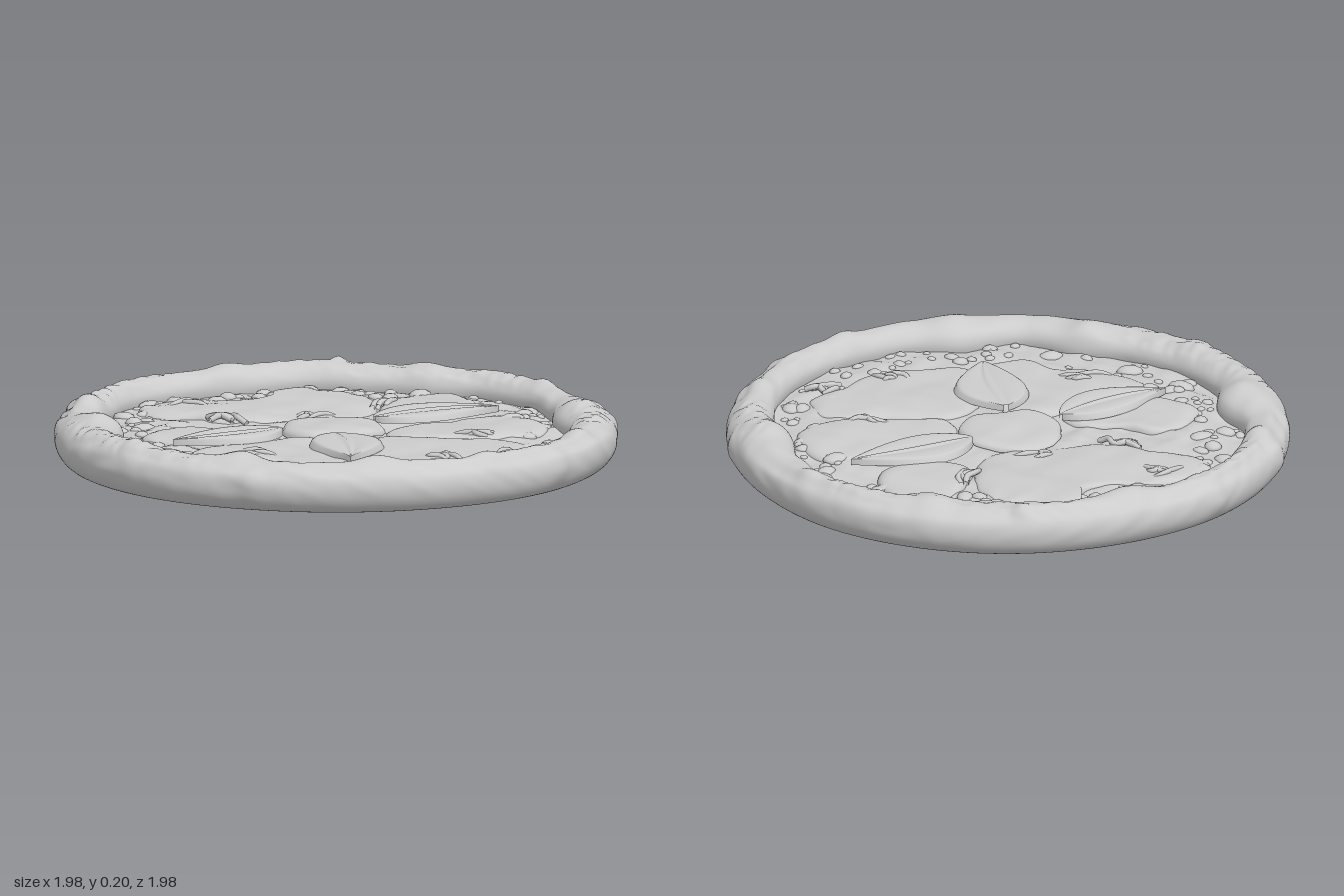
import * as THREE from 'three';

const mat = new THREE.MeshStandardMaterial({ color: 0xcccccc, side: THREE.DoubleSide });
const TAU = Math.PI * 2;
const smooth = (a, b, x) => THREE.MathUtils.smoothstep(x, a, b);

// Smooth lumpy noise, about -1..1
const noise = (x, z, f) =>
  (Math.sin(x * f + 1.7 * Math.sin(z * f * 0.8 + 1)) + Math.sin(z * f * 1.1 + 1.5 * Math.sin(x * f * 0.9 + 2))) / 2;

let seed = 7;
const rand = () => (seed = (seed * 16807) % 2147483647) / 2147483647;

// Surface from f(u, v) -> [x, y, z]; closed surfaces wrap around in v
function surface(nu, nv, closed, f) {
  const pos = [], idx = [], cols = closed ? nv : nv + 1;
  for (let i = 0; i <= nu; i++) for (let j = 0; j < cols; j++) pos.push(...f(i / nu, j / nv));
  for (let i = 0; i < nu; i++) for (let j = 0; j < nv; j++) {
    const k = (j + 1) % cols;
    const a = i * cols + j, b = i * cols + k, c = a + cols, d = b + cols;
    idx.push(a, b, c, b, d, c);
  }
  const g = new THREE.BufferGeometry();
  g.setAttribute('position', new THREE.Float32BufferAttribute(pos, 3));
  g.setIndex(idx);
  g.computeVertexNormals();
  return g;
}

function add(parent, name, geometry) {
  const m = new THREE.Mesh(geometry, mat);
  m.name = name;
  parent.add(m);
  return m;
}

// Inner crust radius every 15 degrees, from +x towards +z
const inner = [.76, .81, .83, .84, .84, .83, .77, .82, .77, .80, .81, .81,
  .75, .83, .84, .86, .84, .80, .84, .80, .79, .83, .83, .80];
function innerRadius(a) {
  const t = (((a / TAU) % 1) + 1) % 1 * 24, i = Math.floor(t);
  return THREE.MathUtils.lerp(inner[i % 24], inner[(i + 1) % 24], smooth(0, 1, t - i));
}

// Blisters on the crust: angle in degrees, radius, size, height
const blisters = [[3, .99, .03, .012], [46, 1, .05, .016], [117, 1, .04, .012], [208, 1, .045, .016],
  [234, 1, .045, .016], [279, .94, .03, .018], [0, .85, .07, .018], [90, .87, .08, .018], [122, .82, .07, .025],
  [180, .84, .08, .024], [300, .87, .07, .02], [253, .88, .08, .02], [30, .9, .06, .016], [332, .91, .05, .016],
  [150, .9, .06, .015], [205, .9, .05, .02], [64, .9, .05, .015]]
  .map(([d, r, s, h]) => [r * Math.cos(d * TAU / 360), r * Math.sin(d * TAU / 360), s, h]);
const blister = (x, z) => blisters.reduce((sum, [bx, bz, s, h]) =>
  sum + h * Math.exp(-((x - bx) ** 2 + (z - bz) ** 2) / (s * s)), 0);

function crustGeometry() {
  const nv = 360, curves = [];
  for (let j = 0; j < nv; j++) {
    const a = j / nv * TAU, ri = innerRadius(a), c = Math.cos(a), s = Math.sin(a);
    const ro = .99 - .01 * smooth(.3, 1, c) + .004 * noise(c, s, 5), top = .172 + .008 * noise(c, s, 6), w = ro - ri;
    curves.push(new THREE.CatmullRomCurve3([[ri + .03, .05], [ri + .01, .085], [ri + .006, .12], [ri + .02, .148],
      [ri + w * .32, top - .004], [ri + w * .58, top], [ro - .038, top - .018], [ro - .01, .13], [ro, .09],
      [ro - .01, .045], [ro - .04, .01], [ro - .09, 0]].map(([r, y]) => new THREE.Vector3(r, y, 0)), false, 'centripetal'));
  }
  return surface(52, nv, true, (u, v) => {
    const a = v * TAU, c = Math.cos(a), s = Math.sin(a);
    const p = curves[Math.round(v * nv) % nv].getPoint(u);
    const x = p.x * c, z = p.x * s, k = smooth(.015, .1, p.y);
    const b = blister(x, z) + .0025 * noise(x + p.y, z - p.y, 34);
    // Baked wrinkles, only in some places along the top
    const wrinkle = .004 * noise(x, z, 85) * smooth(.1, .6, noise(x, z, 6)) * smooth(.13, .165, p.y);
    const out = p.x + b * k * smooth(.9, .98, p.x) * .9;
    return [out * c, p.y + b * smooth(.1, .16, p.y) + wrinkle, out * s];
  });
}

const sauceY = (x, z) => .1 + .006 * noise(x, z, 17) + .005 * noise(z, x, 39)
  - .01 * smooth(.72, .84, Math.hypot(x, z));
const cheeseY = (x, z) => .119 + .006 * noise(x, z, 10) + .003 * noise(z, x, 25);

// Melted cheese: a soft-edged sheet inside a smooth closed outline
function cheeseGeometry(points) {
  const curve = new THREE.CatmullRomCurve3(points.map(([x, z]) => new THREE.Vector3(x, 0, z)), true);
  const n = 120, outline = curve.getPoints(n);
  const mid = points.reduce((m, [x, z]) => [m[0] + x / points.length, m[1] + z / points.length], [0, 0]);
  return surface(20, n, true, (u, v) => {
    const p = outline[Math.round(v * n) % n], t = 1 - (1 - u) ** 1.5;
    const r = 1.02 + .025 * noise(p.x, p.z, 30);
    const x = mid[0] + (p.x - mid[0]) * t * r, z = mid[1] + (p.z - mid[1]) * t * r;
    const edge = Math.sqrt(Math.max(0, 1 - t ** 9));
    return [x, THREE.MathUtils.lerp(sauceY(x, z) - .006, cheeseY(x, z), edge), z];
  });
}

const cheeses = [
  [[-.6, -.4], [-.58, -.56], [-.42, -.63], [-.25, -.6], [-.13, -.65], [-.1, -.75], [0, -.8], [.07, -.72], [.17, -.68],
    [.21, -.5], [.18, -.34], [.08, -.22], [-.12, -.22], [-.35, -.24], [-.45, -.33]],
  [[.21, -.34], [.26, -.5], [.38, -.62], [.5, -.59], [.55, -.42], [.5, -.3], [.35, -.26]],
  [[-.69, .03], [-.62, -.1], [-.5, -.14], [-.4, -.07], [-.27, -.03], [-.22, .08], [-.42, .14], [-.6, .15]],
  [[.18, .12], [.22, -.05], [.4, -.12], [.55, -.18], [.68, -.15], [.74, 0], [.7, .14], [.55, .2], [.35, .17]],
  [[.08, .2], [.18, .13], [.4, .2], [.58, .25], [.61, .42], [.47, .5], [.36, .6], [.16, .61], [.02, .58], [.02, .38]],
  [[-.56, .3], [-.38, .18], [-.18, .1], [-.03, .18], [-.04, .4], [-.02, .58], [-.2, .62], [-.27, .52], [-.42, .46]],
];

// Basil leaf from stem to tip with a rib, side veins and a turned-down rim
function leafGeometry([x0, z0], [x1, z1], half) {
  const dx = x1 - x0, dz = z1 - z0, len = Math.hypot(dx, dz);
  return surface(64, 28, false, (u, v) => {
    const s = 1 - 2 * v, q = Math.abs(s);
    const w = .008 * (1 - u) + half * Math.sin(Math.PI * u ** .85) ** .9 * (1 - .25 * u);
    const bend = .02 * Math.sin(u * Math.PI);
    const x = x0 + dx * u + dz / len * (w * s + bend), z = z0 + dz * u - dx / len * (w * s + bend);
    const body = Math.sin(Math.PI * u) ** .6;
    const veins = .008 * Math.sin((u - q * .2) * 34) * smooth(.08, .3, q) * smooth(1, .75, q);
    const y = .134 + body * (.01 * Math.sin(q * 2.6) + .011 * Math.exp(-((q / .08) ** 2)) + veins);
    return [x, y - .022 * smooth(.9, 1, q), z];
  });
}

// Wrinkled tear in the cheese: a few short crooked ridges
function addTear(parent, cx, cz, size, angle) {
  const g = new THREE.Group();
  g.name = 'cheeseTear';
  for (let i = 0; i < 4; i++) {
    const a = angle + (rand() - .5) * 1.6, l = size * (.5 + rand() * .6);
    const ox = cx + (rand() - .5) * size * 1.4, oz = cz + (rand() - .5) * size;
    const pts = [-1, -.4, .3, 1].map((t) => {
      const k = (rand() - .5) * size * .5;
      const x = ox + Math.cos(a) * t * l - Math.sin(a) * k, z = oz + Math.sin(a) * t * l + Math.cos(a) * k;
      return new THREE.Vector3(x, cheeseY(x, z) + .002 - .014 * t * t, z);
    });
    add(g, 'ridge', new THREE.TubeGeometry(new THREE.CatmullRomCurve3(pts), 16, .011, 7));
  }
  parent.add(g);
}

export function createModel() {
  const pizza = new THREE.Group();
  pizza.name = 'pizza';

  // Dough: crust ring and flat underside
  add(pizza, 'crust', crustGeometry());
  add(pizza, 'underside', new THREE.CircleGeometry(.91, 96).rotateX(Math.PI / 2));

  // Sauce bed
  add(pizza, 'sauce', surface(60, 180, true, (u, v) => {
    const a = v * TAU, r = u * (innerRadius(a) + .03), x = r * Math.cos(a), z = r * Math.sin(a);
    return [x, sauceY(x, z), z];
  }));

  // Cheese patches and the round slice in the middle
  cheeses.forEach((c) => add(pizza, 'cheesePatch', cheeseGeometry(c)));
  const ring = Array.from({ length: 9 }, (_, i) => {
    const a = i / 9 * TAU, r = .18 + .012 * Math.sin(i * 2.3);
    return [-.01 + r * Math.cos(a), -.045 + r * Math.sin(a)];
  });
  add(pizza, 'centreSlice', cheeseGeometry(ring)).position.y = .01;

  // Basil leaves
  [[[.15, -.12], [.61, -.24], .125], [[-.2, .03], [-.61, .19], .115], [[-.03, .15], [-.04, .58], .14]]
    .forEach((l) => add(pizza, 'basilLeaf', leafGeometry(...l)));

  // Torn, wrinkled spots
  [[-.44, -.53, .07, .3], [.5, .17, .07, .1], [-.36, .4, .07, -.3], [.3, .53, .045, .5], [-.05, -.29, .05, -.8],
    [.22, -.42, .06, 1.7], [-.35, -.24, .05, .4], [.56, .5, .05, -.6]].forEach((t) => addTear(pizza, ...t));

  // Sauce bubbles, mostly along the crust
  const bubbles = new THREE.Group();
  bubbles.name = 'sauceBubbles';
  const ball = new THREE.SphereGeometry(1, 12, 6);
  for (let i = 0; i < 150; i++) {
    const a = rand() * TAU, r = innerRadius(a) - .01 - rand() ** 1.5 * .17, s = .014 + rand() ** 2 * .026;
    const x = r * Math.cos(a), z = r * Math.sin(a);
    const b = add(bubbles, 'bubble', ball);
    b.position.set(x, sauceY(x, z) - s * .1, z);
    b.scale.set(s * (.8 + rand() * .6), s * .6, s);
    b.rotation.y = rand() * TAU;
  }
  pizza.add(bubbles);
  return pizza;
}
